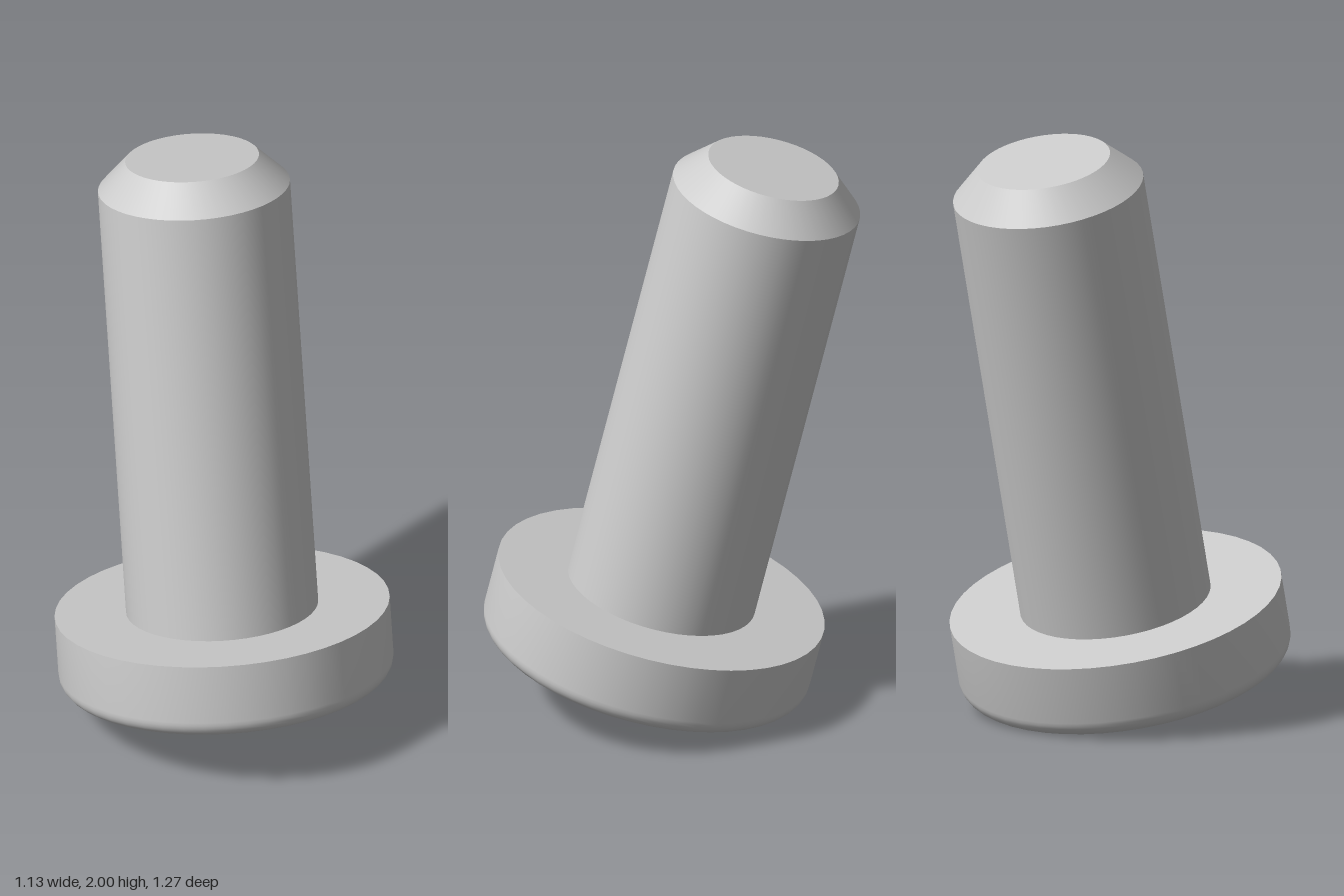
import * as THREE from 'three';
import { toCreasedNormals } from 'three/addons/utils/BufferGeometryUtils.js';

const SEGMENTS = 48;
const HEAD_R = 0.565, HEAD_H = 0.262, FILLET = 0.06;
const SHAFT_R = 0.324, TIP_R = 0.226, LENGTH = 1.882, CHAMFER = 0.1;
const ARM_W = 0.1, ARM_L = 0.325, RECESS = 0.1, CORNER = 0.04;

const material = new THREE.MeshStandardMaterial({ color: 0xcccccc });

function addMesh(parent, name, geometry) {
  const mesh = new THREE.Mesh(geometry, material);
  mesh.name = name;
  parent.add(mesh);
}

function lathe(points) {
  const profile = points.map(([r, y]) => new THREE.Vector2(r, y));
  return toCreasedNormals(new THREE.LatheGeometry(profile, SEGMENTS), 0.5);
}

// Cross outline: one arm and its rounded inner corner, repeated four times
function crossPoints() {
  const points = [], origin = new THREE.Vector2();
  for (let i = 0; i < 4; i++) {
    const arm = [new THREE.Vector2(ARM_L, -ARM_W), new THREE.Vector2(ARM_L, ARM_W)];
    for (let j = 0; j <= 6; j++) {
      const a = -Math.PI / 2 - (j / 6) * (Math.PI / 2);
      const c = ARM_W + CORNER;
      arm.push(new THREE.Vector2(c + CORNER * Math.cos(a), c + CORNER * Math.sin(a)));
    }
    points.push(...arm.map((p) => p.rotateAround(origin, i * Math.PI / 2)));
  }
  return points;
}

export function createModel() {
  const model = new THREE.Group();
  model.name = 'screw';

  // Head: rounded lower rim, straight side, flat top
  const inner = HEAD_R - FILLET;
  const rim = [];
  for (let i = 0; i <= 8; i++) {
    const a = (i / 8) * Math.PI / 2;
    rim.push([inner + FILLET * Math.sin(a), FILLET * (1 - Math.cos(a))]);
  }
  addMesh(model, 'head', lathe([...rim, [HEAD_R, HEAD_H], [0, HEAD_H]]));

  // Underside of the head with the cross cut into it
  const disc = new THREE.Shape();
  for (let i = 0; i < SEGMENTS; i++) {
    const a = (i / SEGMENTS) * Math.PI * 2;
    disc[i ? 'lineTo' : 'moveTo'](inner * Math.cos(a), inner * Math.sin(a));
  }
  disc.closePath();
  disc.holes.push(new THREE.Path(crossPoints()));
  const face = new THREE.ExtrudeGeometry(disc, { depth: RECESS, bevelEnabled: false });
  face.rotateX(-Math.PI / 2);
  addMesh(model, 'headFace', toCreasedNormals(face, 0.5));

  // Floor of the cross recess
  const floor = new THREE.ShapeGeometry(new THREE.Shape(crossPoints()));
  floor.rotateX(Math.PI / 2).translate(0, RECESS, 0);
  addMesh(model, 'recessFloor', floor);

  // Shaft with chamfered tip
  addMesh(model, 'shaft', lathe([
    [SHAFT_R, HEAD_H], [SHAFT_R, LENGTH - CHAMFER], [TIP_R, LENGTH], [0, LENGTH],
  ]));

  // Lean backwards, resting on the rim
  model.rotation.x = THREE.MathUtils.degToRad(-13.5);
  model.position.set(0, 0.12, 0.1);
  const root = new THREE.Group();
  root.add(model);
  return root;
}
